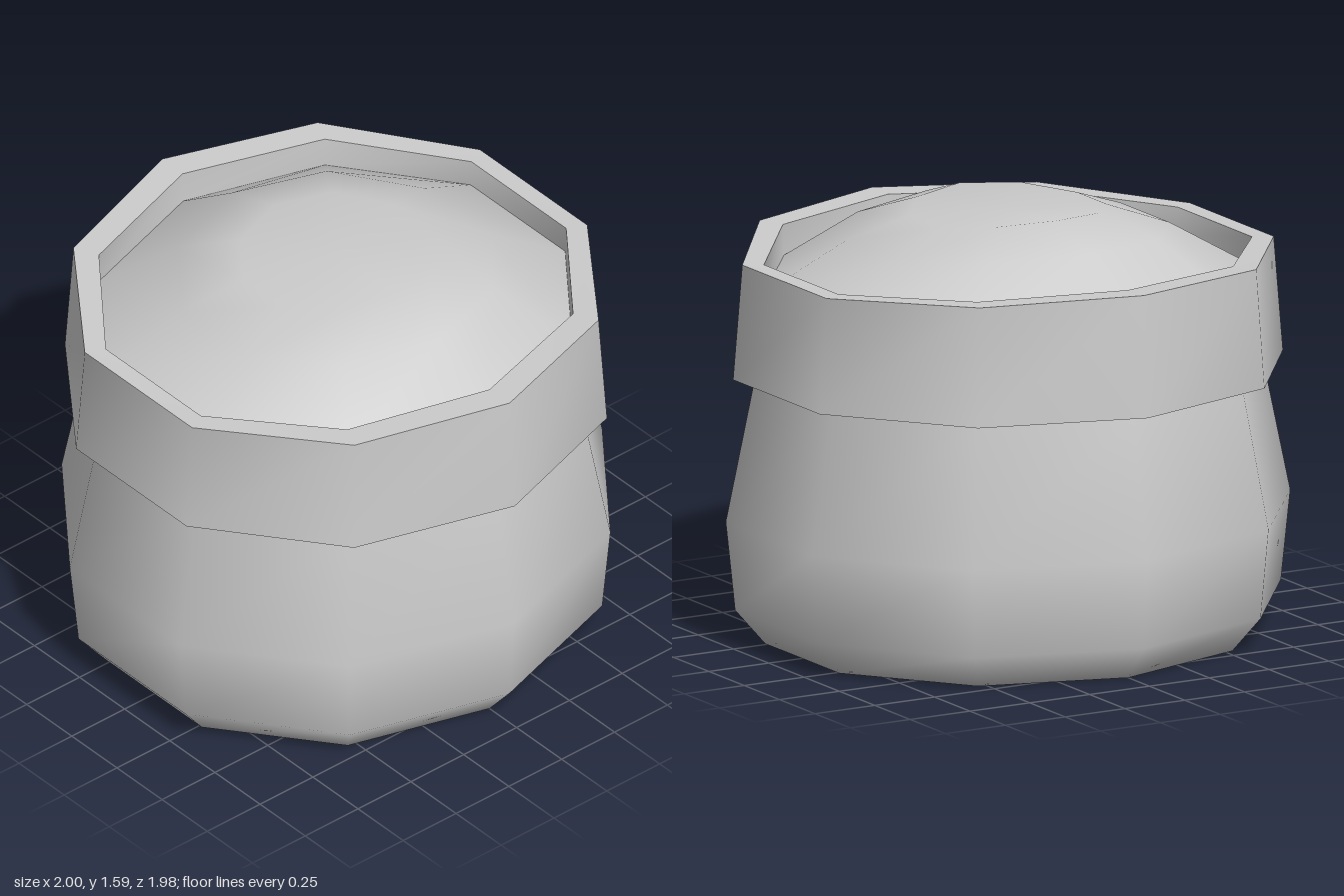
import * as THREE from 'three';
import { mergeVertices } from 'three/addons/utils/BufferGeometryUtils.js';

const SIDES = 10;

// Smooth ten-sided skin through rings of [y, x radius, z radius, lift at front and back].
// Rings running upward face outward.
function loft(name, rings) {
  const positions = [];
  const indices = [];
  for (const [y, rx, rz, lift = 0] of rings) {
    for (let j = 0; j < SIDES; j++) {
      const a = (j / SIDES) * Math.PI * 2;
      positions.push(Math.sin(a) * rx, y + lift * Math.cos(a) ** 2, Math.cos(a) * rz);
    }
  }
  for (let i = 0; i < rings.length - 1; i++) {
    for (let j = 0; j < SIDES; j++) {
      const k = (j + 1) % SIDES;
      const a = i * SIDES + j, b = i * SIDES + k;
      const c = b + SIDES, d = a + SIDES;
      indices.push(a, b, c, a, c, d);
    }
  }
  let geometry = new THREE.BufferGeometry();
  geometry.setAttribute('position', new THREE.Float32BufferAttribute(positions, 3));
  geometry.setIndex(indices);
  geometry = mergeVertices(geometry); // joins the points at a pole
  geometry.computeVertexNormals();
  const mesh = new THREE.Mesh(geometry, new THREE.MeshStandardMaterial({ color: 0xcccccc }));
  mesh.name = name;
  return mesh;
}

export function createModel() {
  const model = new THREE.Group();
  model.name = 'jar';

  // Bulging pot with a chamfered foot
  model.add(loft('potBody', [
    [0, 0, 0],
    [0, 0.904, 0.85],
    [0.13, 1.015, 0.96],
    [0.46, 1.051, 0.985],
    [0.97, 0.945, 0.89],
  ]));

  // Collar: each face is its own strip so the edges stay sharp
  const lowerInner = [0.963, 0.935, 0.88, 0.005];
  const lowerOuter = [0.98, 1.018, 0.99, 0.01];
  const upperOuter = [1.4, 0.983, 0.962, 0.038];
  const upperInner = [1.4, 0.909, 0.85, 0.035];
  const wellFloor = [1.3, 0.905, 0.846, 0.015];
  const collar = new THREE.Group();
  collar.name = 'collar';
  collar.add(
    loft('collarUnderside', [lowerInner, lowerOuter]),
    loft('collarWall', [lowerOuter, upperOuter]),
    loft('collarRim', [upperOuter, upperInner]),
    loft('collarInnerWall', [upperInner, wellFloor]),
  );
  model.add(collar);

  // Domed top with a shallow dip in the middle
  model.add(loft('domedTop', [
    wellFloor,
    [1.472, 0.6, 0.575, 0.035],
    [1.552, 0.368, 0.34, 0.033],
    [1.555, 0, 0],
  ]));

  return model;
}
